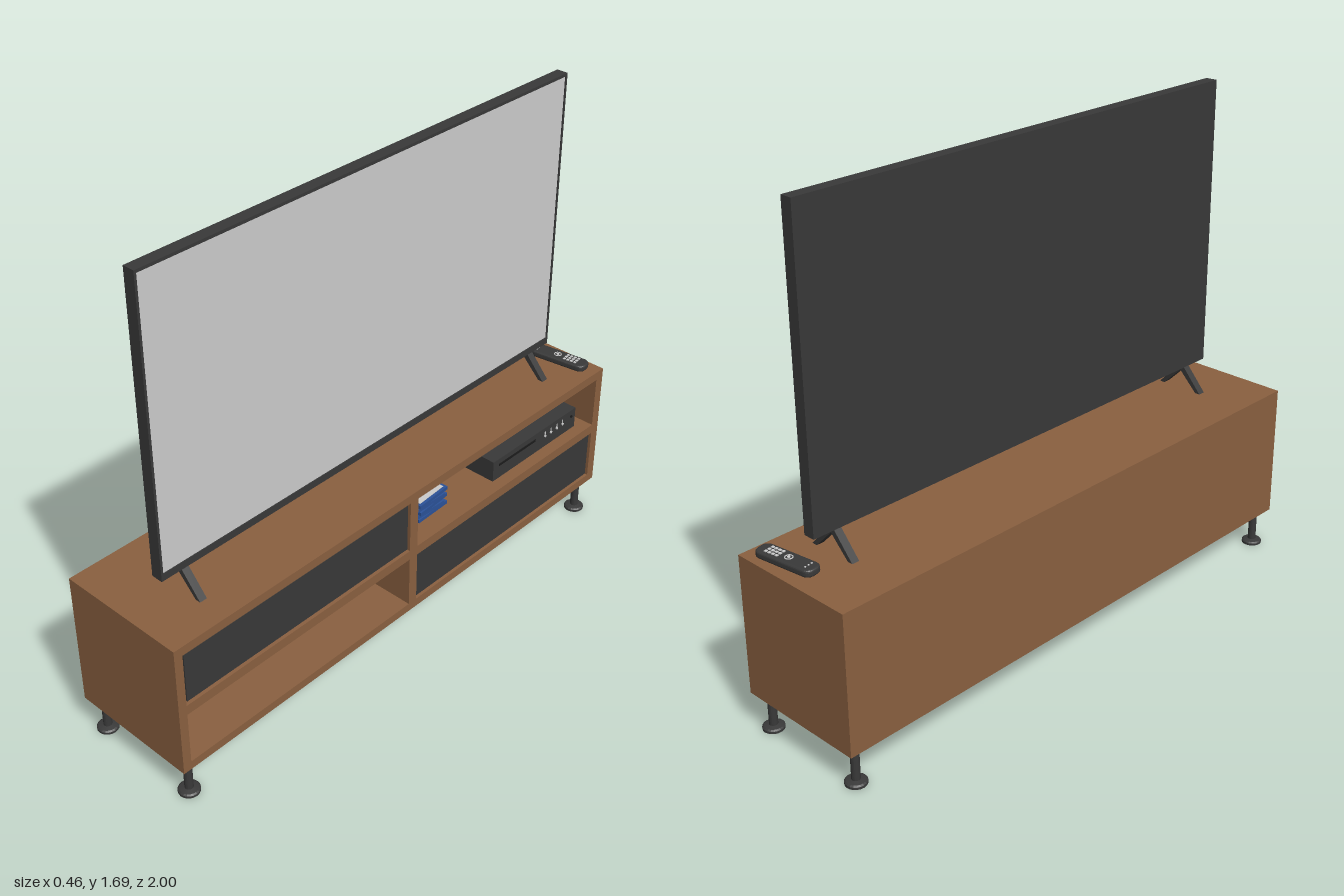
import * as THREE from 'three';

const mat = (color) => new THREE.MeshStandardMaterial({ color });
const wood = mat(0x8a6040), dark = mat(0x393939), black = mat(0x1c1c1c);
const grey = mat(0xcccccc), blue = mat(0x2b5299);

function add(parent, name, geometry, material, x = 0, y = 0, z = 0) {
  const mesh = new THREE.Mesh(geometry, material);
  mesh.name = name;
  mesh.position.set(x, y, z);
  parent.add(mesh);
  return mesh;
}

// box given by its minimum and maximum on each axis
function block(parent, name, material, [x0, x1], [y0, y1], [z0, z1]) {
  return add(parent, name, new THREE.BoxGeometry(x1 - x0, y1 - y0, z1 - z0), material,
    (x0 + x1) / 2, (y0 + y1) / 2, (z0 + z1) / 2);
}

function group(parent, name) {
  const g = new THREE.Group();
  g.name = name;
  parent.add(g);
  return g;
}

function rectangle(Type, x0, x1, y0, y1) {
  const r = new Type();
  r.moveTo(x0, y0).lineTo(x1, y0).lineTo(x1, y1).lineTo(x0, y1).closePath();
  return r;
}

function buildCabinet(root) {
  const cabinet = group(root, 'cabinet');
  // carcass: four compartments cut from the face, extruded towards +x
  const face = rectangle(THREE.Shape, -1, 1, 0.13, 0.605);
  for (const [a, b] of [[-0.97, -0.018], [0.018, 0.965]])
    for (const [c, d] of [[0.16, 0.347], [0.382, 0.573]])
      face.holes.push(rectangle(THREE.Path, a, b, c, d));
  const carcass = new THREE.ExtrudeGeometry(face, { depth: 0.44, bevelEnabled: false });
  carcass.rotateY(Math.PI / 2);
  add(cabinet, 'carcass', carcass, wood, -0.21);
  block(cabinet, 'backPanel', wood, [-0.23, -0.21], [0.13, 0.605], [-1, 1]);

  // drawers in opposite corners
  block(cabinet, 'upperDrawer', dark, [-0.2, 0.222], [0.387, 0.565], [0.022, 0.96]);
  block(cabinet, 'lowerDrawer', dark, [-0.2, 0.222], [0.164, 0.343], [-0.961, -0.022]);

  // legs with flared feet
  const profile = [[0, 0], [0.035, 0], [0.035, 0.008], [0.03, 0.012], [0.014, 0.015], [0.014, 0.13]]
    .map(([r, y]) => new THREE.Vector2(r, y));
  const legGeometry = new THREE.LatheGeometry(profile, 20).toNonIndexed();
  legGeometry.computeVertexNormals();
  for (const x of [-0.19, 0.19])
    for (const z of [-0.955, 0.955]) add(cabinet, 'leg', legGeometry, dark, x, 0, z);
}

function buildTelevision(root) {
  const tv = group(root, 'television');
  block(tv, 'housing', dark, [0.02, 0.057], [0.69, 1.688], [-0.888, 0.888]);
  block(tv, 'screen', grey, [0.05, 0.058], [0.715, 1.678], [-0.88, 0.88]);
  // raised bezel
  block(tv, 'bottomBezel', dark, [0.05, 0.061], [0.69, 0.715], [-0.888, 0.888]);
  block(tv, 'topBezel', dark, [0.05, 0.061], [1.678, 1.688], [-0.888, 0.888]);
  for (const s of [-1, 1])
    add(tv, 'sideBezel', new THREE.BoxGeometry(0.011, 0.963, 0.008), dark, 0.0555, 1.1965, s * 0.884);

  // inverted V stands
  const vee = new THREE.Shape([[-0.088, 0], [-0.069, 0], [0, 0.069], [0.069, 0], [0.088, 0],
    [0.01, 0.088], [-0.01, 0.088]].map(([x, y]) => new THREE.Vector2(x, y)));
  const stand = new THREE.ExtrudeGeometry(vee, { depth: 0.026, bevelEnabled: false });
  for (const z of [-0.797, 0.797]) add(tv, 'stand', stand, dark, 0.04, 0.605, z - 0.013);
}

function buildPlayer(root) {
  const player = group(root, 'mediaPlayer');
  block(player, 'playerBody', dark, [-0.06, 0.19], [0.386, 0.465], [-0.91, -0.45]);
  block(player, 'discSlot', black, [0.18, 0.192], [0.436, 0.445], [-0.68, -0.48]);
  const button = new THREE.CylinderGeometry(0.005, 0.005, 0.008, 10).rotateZ(Math.PI / 2);
  for (const z of [-0.735, -0.768, -0.802, -0.835]) {
    add(player, 'playerButton', button, grey, 0.19, 0.432, z);
    add(player, 'buttonMark', new THREE.BoxGeometry(0.004, 0.012, 0.004), grey, 0.19, 0.443, z);
  }
  add(player, 'powerButton', button, black, 0.19, 0.44, -0.885);
}

function buildCases(root) {
  const stack = group(root, 'caseStack');
  const turns = [0.03, -0.04, 0.08, -0.02, 0.06];
  turns.forEach((turn, i) => {
    const z = -0.175 + (i % 2 ? 0.008 : -0.004);
    const box = add(stack, 'discCase', new THREE.BoxGeometry(0.19, 0.0125, 0.145), blue, 0.06, 0.389 + i * 0.014, z);
    box.rotation.y = turn;
    if (i === turns.length - 1)
      add(box, 'caseCover', new THREE.BoxGeometry(0.17, 0.002, 0.125), grey, 0, 0.0065, 0);
  });
}

function buildRemote(root) {
  const remote = group(root, 'remote');
  remote.position.set(0.085, 0.606, -0.935);
  remote.rotation.y = 0.13;
  // rounded capsule outline lying flat, length along x
  const l = 0.103, w = 0.024, r = 0.02;
  const outline = new THREE.Shape();
  outline.moveTo(-l + r, -w).lineTo(l - r, -w).quadraticCurveTo(l, -w, l, -w + r);
  outline.lineTo(l, w - r).quadraticCurveTo(l, w, l - r, w).lineTo(-l + r, w);
  outline.quadraticCurveTo(-l, w, -l, w - r).lineTo(-l, -w + r).quadraticCurveTo(-l, -w, -l + r, -w);
  const body = new THREE.ExtrudeGeometry(outline, {
    depth: 0.01, bevelThickness: 0.007, bevelSize: 0.007, bevelSegments: 3, curveSegments: 6,
  });
  body.rotateX(-Math.PI / 2);
  add(remote, 'remoteBody', body, dark, 0, 0.007, 0);

  // keypad, direction ring and small keys
  const key = new THREE.BoxGeometry(0.009, 0.003, 0.009);
  for (let i = 0; i < 4; i++)
    for (let j = -1; j <= 1; j++) add(remote, 'remoteKey', key, grey, 0.028 + i * 0.014, 0.025, j * 0.014);
  const ring = new THREE.TorusGeometry(0.012, 0.002, 6, 20).rotateX(Math.PI / 2);
  add(remote, 'directionRing', ring, grey, -0.006, 0.0245, 0);
  add(remote, 'centreKey', new THREE.CylinderGeometry(0.005, 0.005, 0.003, 12), grey, -0.006, 0.025, 0);
  for (const z of [-0.013, 0, 0.013])
    add(remote, 'smallKey', new THREE.BoxGeometry(0.004, 0.003, 0.005), grey, -0.082, 0.025, z);
}

export function createModel() {
  const root = new THREE.Group();
  root.name = 'televisionUnit';
  buildCabinet(root);
  buildTelevision(root);
  buildPlayer(root);
  buildCases(root);
  buildRemote(root);
  return root;
}
